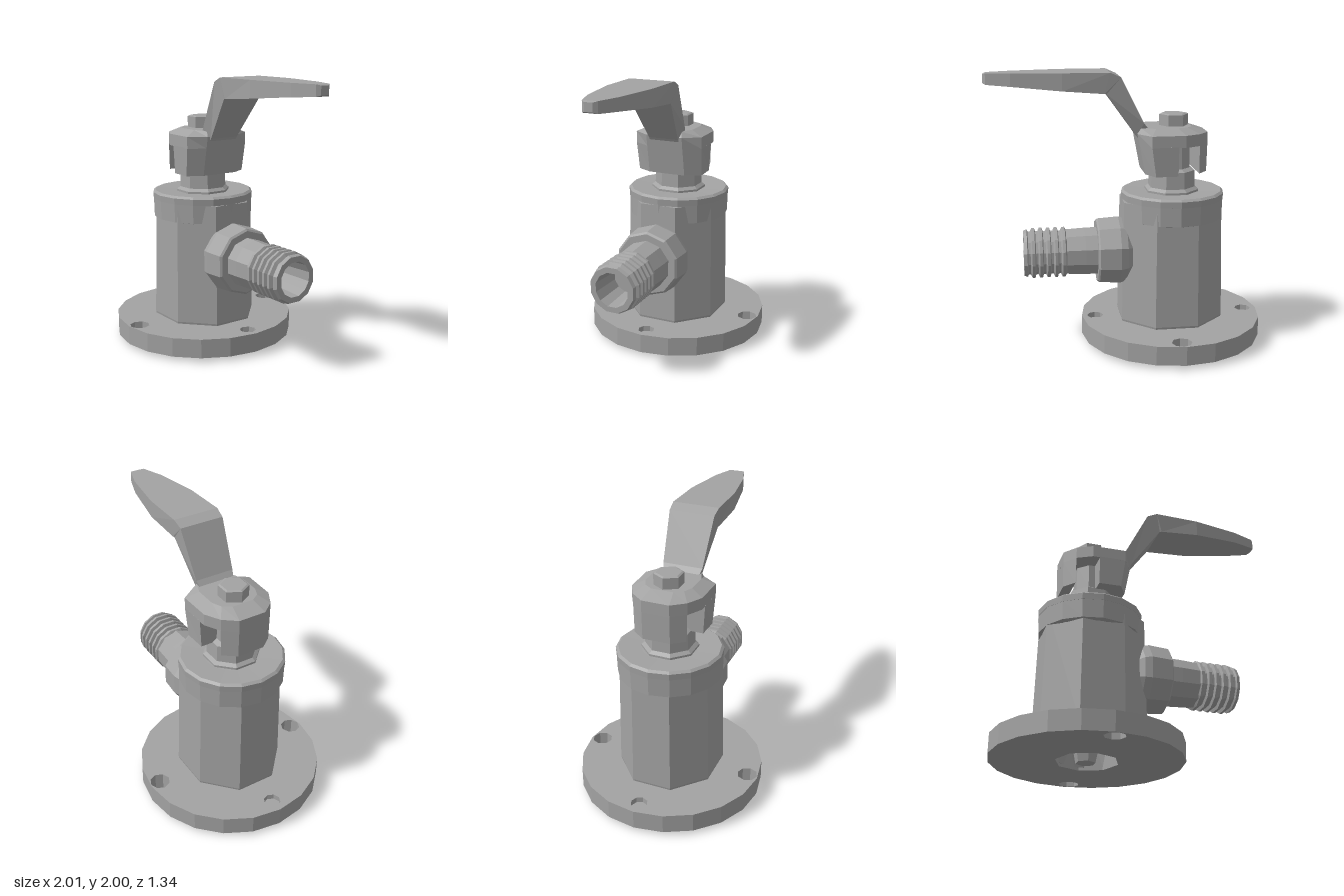
import * as THREE from 'three';

const AXIS = -0.345; // x of the valve's vertical axis

export function createModel() {
  const model = new THREE.Group();
  const metal = new THREE.MeshStandardMaterial({ color: 0xa3a3a3, flatShading: true });
  metal.name = 'grey metal';

  const add = (name, geometry, x = 0, y = 0, z = 0) => {
    const mesh = new THREE.Mesh(geometry, metal);
    mesh.name = name;
    mesh.position.set(x, y, z);
    model.add(mesh);
    return mesh;
  };
  const lathe = (points, sides, turn = 0) =>
    new THREE.LatheGeometry(points.map(p => new THREE.Vector2(...p)), sides).rotateY(turn);

  // Joins matching convex rings of [x, y, z] points and closes both ends
  const loft = rings => {
    const n = rings[0].length;
    const index = [];
    for (let i = 0; i < rings.length - 1; i++) {
      for (let j = 0; j < n; j++) {
        const a = i * n + j, b = i * n + (j + 1) % n, c = b + n, d = a + n;
        index.push(a, d, c, a, c, b);
      }
    }
    const last = (rings.length - 1) * n;
    for (let j = 1; j < n - 1; j++) {
      index.push(0, j, j + 1, last, last + j + 1, last + j);
    }
    const geometry = new THREE.BufferGeometry();
    geometry.setAttribute('position', new THREE.Float32BufferAttribute(rings.flat(2), 3));
    geometry.setIndex(index);
    const flat = geometry.toNonIndexed();
    flat.computeVertexNormals();
    return flat;
  };
  // Horizontal ring at height y from its [x, halfWidth] outline
  const ring = (y, half) => [
    ...half.map(([x, z]) => [x, y, -z]),
    ...half.slice().reverse().map(([x, z]) => [x, y, z]),
  ];

  // Base flange: two bolt holes go through, two are shallow sinks
  const flangeLayer = (y, depth, holes) => {
    const circle = (Type, x, z, r, n) => new Type(Array.from({ length: n }, (_, i) => {
      const t = (i / n) * Math.PI * 2;
      return new THREE.Vector2(x + r * Math.cos(t), z + r * Math.sin(t));
    }));
    const shape = circle(THREE.Shape, 0, 0, 0.67, 20);
    shape.holes = holes.map(([x, z, r]) => circle(THREE.Path, x, z, r, 8));
    const geometry = new THREE.ExtrudeGeometry(shape, { depth, bevelEnabled: false });
    add('baseFlange', geometry.rotateX(-Math.PI / 2), AXIS, y, 0);
  };
  const through = [[0.02, 0.59, 0.073], [0.02, -0.59, 0.073], [0, 0, 0.22]];
  flangeLayer(0.03, 0.1, through);
  flangeLayer(0.13, 0.04, [...through, [-0.57, 0, 0.06], [0.57, 0, 0.06]]);

  // Octagonal body with a hollow underside
  const body = add('body', lathe([
    [0, 0.35], [0.2, 0.32], [0.24, 0.05], [0.38, 0.08], [0.405, 0.185], [0.385, 1.07], [0, 1.07],
  ], 8, Math.PI / 8), AXIS + 0.01);
  body.scale.z = 0.93;
  add('innerPlug', lathe([[0, 0], [0.07, 0.02], [0.09, 0.12], [0.06, 0.34]], 6), AXIS - 0.01);

  // Collar and cap
  add('collar', lathe([[0.34, 0.93], [0.37, 0.94], [0.374, 1.075]], 16), AXIS - 0.005);
  add('cap', lathe([
    [0.34, 1.065], [0.375, 1.075], [0.378, 1.12], [0.36, 1.135], [0.2, 1.125], [0, 1.125],
  ], 16), AXIS - 0.005);

  // Valve stem
  add('stem', lathe([
    [0.2, 1.12], [0.2, 1.14], [0.175, 1.16], [0.17, 1.28], [0.135, 1.3], [0.13, 1.5],
  ], 8, Math.PI / 8), AXIS);

  // Handle hub: roof with two skirts that leave a slot on each side
  const hubPlan = [[-0.585, 0.1], [-0.51, 0.195], [-0.4, 0.255], [-0.16, 0.26], [-0.075, 0.14]];
  add('hubRoof', loft([
    ring(1.48, [[-0.585, 0.1], [-0.51, 0.195], [-0.4, 0.255], [-0.16, 0.26], [-0.09, 0.14]]),
    ring(1.565, hubPlan),
    ring(1.605, [[-0.47, 0.08], [-0.43, 0.14], [-0.36, 0.17], [-0.2, 0.17], [-0.1, 0.13]]),
  ]));
  add('hubBackSkirt', loft([
    ring(1.28, [[-0.58, 0.1], [-0.51, 0.19]]),
    ring(1.485, [[-0.585, 0.1], [-0.51, 0.195]]),
  ]));
  add('hubFrontSkirt', loft([
    ring(1.275, [[-0.35, 0.245], [-0.19, 0.25], [-0.13, 0.14]]),
    ring(1.485, [[-0.35, 0.257], [-0.16, 0.26], [-0.09, 0.14]]),
  ]));
  add('topNut', lathe([[0.105, 1.58], [0.105, 1.685], [0.09, 1.692], [0, 1.692]], 6, Math.PI / 6), -0.355);

  // Bent lever: bottom x, y, half width, then top x, y, half width
  add('lever', loft([
    [-0.1, 1.5, 0.11, -0.16, 1.59, 0.13],
    [-0.07, 1.55, 0.115, -0.12, 1.64, 0.145],
    [0.145, 1.85, 0.155, 0.045, 1.965, 0.165],
    [0.16, 1.852, 0.16, 0.12, 1.998, 0.17],
    [0.45, 1.875, 0.165, 0.45, 1.998, 0.165],
    [0.8, 1.905, 0.11, 0.8, 1.995, 0.11],
    [0.97, 1.915, 0.055, 0.97, 1.993, 0.055],
    [0.99, 1.925, 0.03, 0.99, 1.985, 0.03],
  ].map(([bx, by, bw, tx, ty, tw]) => [[bx, by, -bw], [bx, by, bw], [tx, ty, tw], [tx, ty, -tw]])));

  // Side outlet, turned about the x axis
  const outlet = (name, points, sides) =>
    add(name, lathe(points, sides, Math.PI / sides).rotateZ(-Math.PI / 2), 0, 0.68, 0);
  outlet('outletBoss', [[0.15, -0.1], [0.24, 0], [0.255, 0.05], [0.245, 0.2], [0.23, 0.212], [0, 0.212]], 10);
  outlet('outletPipe', [[0.18, 0.2], [0.178, 0.3], [0.17, 0.45]], 10);

  // Threaded end with an open bore
  const thread = [[0.165, 0.435]];
  for (let i = 0; i < 5; i++) {
    const x = 0.445 + i * 0.055;
    thread.push([0.183, x], [0.183, x + 0.02], [0.158, x + 0.032], [0.158, x + 0.048]);
  }
  thread.push([0.175, 0.72], [0.165, 0.745], [0.125, 0.745], [0.11, 0.5], [0, 0.5]);
  outlet('outletThread', thread, 12);

  return model;
}
